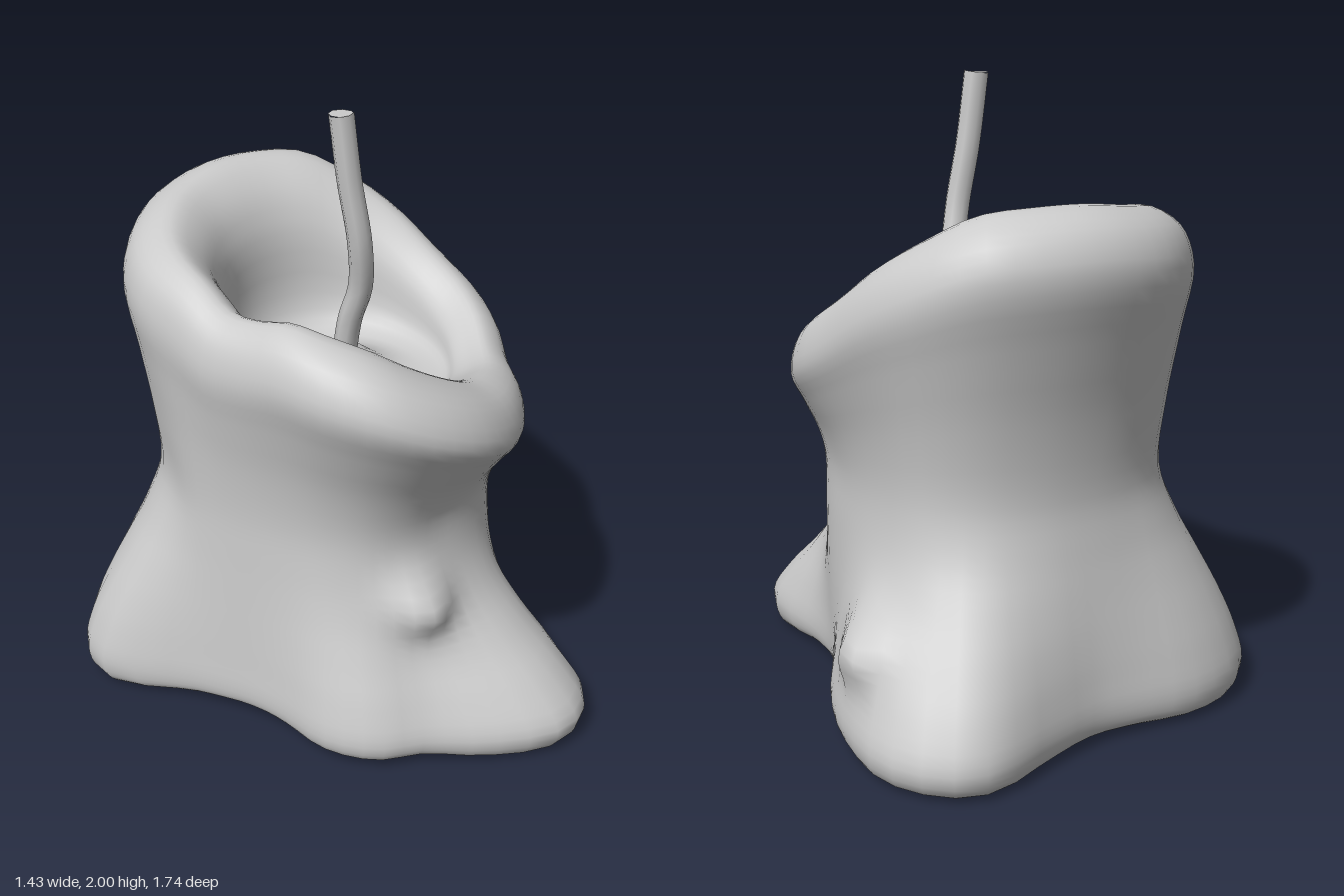
import * as THREE from 'three';
import { mergeVertices } from 'three/addons/utils/BufferGeometryUtils.js';

// Values every 15 degrees, starting at +x and turning toward +z
const FOOT = [.54, .50, .52, .62, .86, .92, .80, .68, .66, .60, .51, .48,
  .51, .61, .85, .88, .82, .73, .71, .80, .98, .95, .79, .65];
const WAIST = [.50, .50, .50, .50, .50, .49, .48, .49, .49, .47, .45, .45,
  .48, .53, .56, .60, .62, .62, .62, .63, .64, .62, .56, .52];
const RIM = [.64, .61, .58, .60, .62, .65, .68, .69, .68, .63, .57, .54,
  .55, .58, .64, .69, .73, .77, .79, .80, .80, .75, .69, .65];
const HEIGHT = [1.30, 1.24, 1.19, 1.18, 1.20, 1.23, 1.29, 1.36, 1.43, 1.47, 1.49, 1.47,
  1.47, 1.53, 1.57, 1.60, 1.63, 1.65, 1.67, 1.67, 1.65, 1.57, 1.48, 1.38];
const POOL = 1.08;

// Smooth periodic lookup, u in 0..1
function around(table, u) {
  const n = table.length, f = u * n, i = Math.floor(f), t = f - i;
  const [a, b, c, d] = [-1, 0, 1, 2].map(k => table[(i + k + n) % n]);
  return b + 0.5 * t * (c - a + t * (2 * a - 5 * b + 4 * c - d + t * (3 * (b - c) + d - a)));
}

// Radius/height section through the wax: underside, foot, waist, rolled rim, bowl
function section(u) {
  const foot = around(FOOT, u), waist = around(WAIST, u);
  const R = around(RIM, u), H = around(HEIGHT, u);
  const s = Math.sin(u * Math.PI * 2), c = Math.cos(u * Math.PI * 2);
  // feet are bulbous at the back left and sloped at the front
  const power = 1 + 0.32 * s + 0.25 * c;
  const flare = (f) => waist + (foot - waist) * Math.pow(f, power);
  // the base arches up a little between the feet
  const lift = 0.03 * Math.max(0, 1 - (foot - 0.5) / 0.35);
  const lip = H - 0.17;
  const climb = (t, f) => [waist + (R - waist) * f, 0.78 + (lip - 0.78) * t];
  // thick rounded lip between the bowl opening and the outer rim
  const opening = 0.36 + 0.05 * (c - s);
  const roll = (t, drop, depth) => [opening + (R - opening) * t, H - drop - (H - POOL) * depth];
  const points = [
    [0, 0.1], [foot * 0.5, 0.05], [foot * 0.87, 0.005 + lift], [foot * 0.97, 0.025 + lift], [foot, 0.1],
    [flare(0.84), 0.22], [flare(0.56), 0.35], [flare(0.28), 0.48], [flare(0.07), 0.62],
    [waist, 0.78], climb(0.35, 0.22), climb(0.7, 0.65), climb(1, 1),
    roll(0.86, 0.05, 0), roll(0.52, 0, 0), roll(0.22, 0.02, 0.1), roll(0.04, 0.02, 0.35),
    [opening - 0.02, POOL + (H - POOL) * 0.15], [opening * 0.72, POOL], [0, POOL],
  ];
  return new THREE.CatmullRomCurve3(points.map(([r, y]) => new THREE.Vector3(r, y, 0)), false, 'centripetal');
}

// Wax drips that push the outer wall outward: x, y, z, amount, size
const DRIPS = [[-0.1, 0.53, 0.5, 0.1, 0.1], [0.6, 0.36, -0.36, 0.13, 0.11]];

function waxGeometry(sides = 64, rows = 76) {
  const positions = [], index = [];
  for (let i = 0; i < sides; i++) {
    const u = i / sides, angle = u * Math.PI * 2;
    const c = Math.cos(angle), s = Math.sin(angle), curve = section(u);
    for (let j = 0; j <= rows; j++) {
      const p = curve.getPoint(j / rows);
      let r = p.x, y = p.y;
      const x = r * c, z = r * s;
      if (j / rows < 0.65) {
        for (const [dx, dy, dz, amount, size] of DRIPS) {
          const d = (x - dx) ** 2 + (y - dy) ** 2 + (z - dz) ** 2;
          r += amount * Math.exp(-d / (size * size));
        }
      } else {
        // wax drawn up around the wick
        y += 0.1 * Math.exp(-((x - 0.1) ** 2 + (z + 0.08) ** 2) / 0.012);
      }
      positions.push(r * c, Math.max(0, y), r * s);
      if (j < rows) {
        const a = i * (rows + 1) + j, b = ((i + 1) % sides) * (rows + 1) + j;
        index.push(a, a + 1, b + 1, a, b + 1, b);
      }
    }
  }
  let geometry = new THREE.BufferGeometry();
  geometry.setAttribute('position', new THREE.Float32BufferAttribute(positions, 3));
  geometry.setIndex(index);
  geometry = mergeVertices(geometry, 1e-4);
  geometry.computeVertexNormals();
  return geometry;
}

export function createModel() {
  const group = new THREE.Group();
  group.name = 'meltedCandle';
  const material = new THREE.MeshStandardMaterial({ color: 0xcccccc });
  const add = (name, geometry) => {
    const mesh = new THREE.Mesh(geometry, material);
    mesh.name = name;
    group.add(mesh);
    return mesh;
  };

  add('waxBody', waxGeometry());

  // Bent wick rising from the bowl
  const path = new THREE.CatmullRomCurve3([
    [0.1, 1.05, -0.1], [0.09, 1.27, -0.05], [0.09, 1.4, 0], [0.06, 1.57, 0.03],
    [0.025, 1.78, 0.02], [0, 2, 0.01],
  ].map(p => new THREE.Vector3(...p)));
  add('wick', new THREE.TubeGeometry(path, 24, 0.04, 8));
  const tip = add('wickTip', new THREE.CircleGeometry(0.04, 8));
  tip.position.set(0, 1.998, 0.01);
  tip.rotation.x = -Math.PI / 2;

  return group;
}
